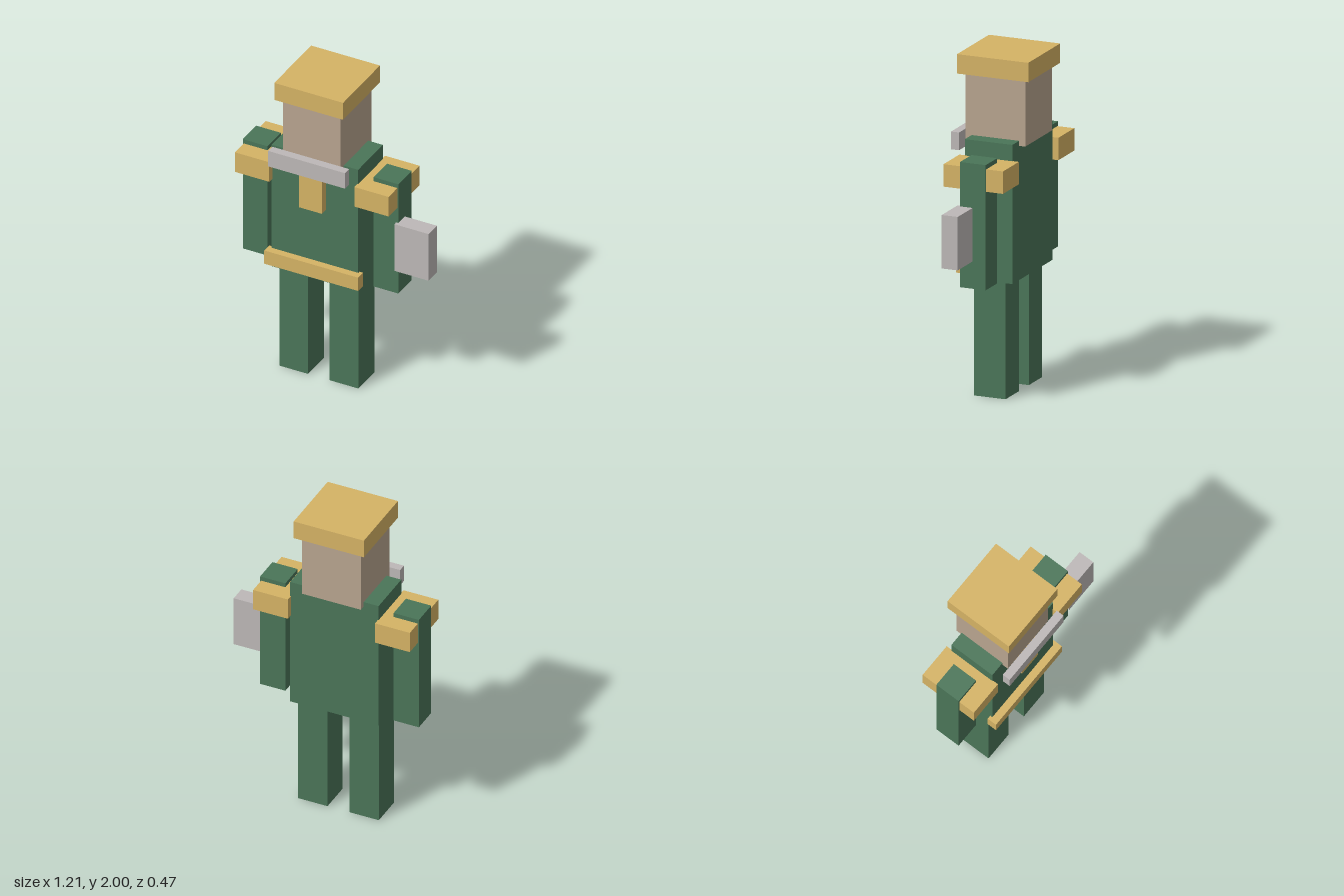
import * as THREE from 'three';

const paint = (color) => new THREE.MeshStandardMaterial({ color });

export function createModel() {
  const model = new THREE.Group();
  model.name = 'blockFigure';

  const green = paint(0x4a7558);
  const gold = paint(0xd5b365);
  const skin = paint(0xb8a48f);
  const silver = paint(0xbdb8b7);

  // The body's middle lies left of the origin because of the held item
  const body = new THREE.Group();
  body.name = 'body';
  body.position.x = -0.105;
  model.add(body);

  // Box from its centre x, width, and its y and z ranges
  function box(name, material, x, width, [y0, y1], [z0, z1]) {
    const mesh = new THREE.Mesh(new THREE.BoxGeometry(width, y1 - y0, z1 - z0), material);
    mesh.name = name;
    mesh.position.set(x, (y0 + y1) / 2, (z0 + z1) / 2);
    body.add(mesh);
  }

  // Torso and head
  box('torso', green, 0, 0.56, [0.695, 1.52], [-0.162, 0.135]);
  box('head', skin, 0, 0.372, [1.49, 1.89], [-0.2, 0.173]);
  box('hat', gold, 0, 0.445, [1.885, 2], [-0.235, 0.21]);

  // Clothing details on the chest
  box('collar', silver, 0, 0.496, [1.44, 1.545], [0.186, 0.236]);
  box('chestStrip', gold, 0, 0.146, [1.188, 1.45], [0.135, 0.188]);
  box('belt', gold, 0, 0.607, [0.73, 0.82], [0.12, 0.18]);

  // Mirrored limbs
  for (const [side, s] of [['left', 1], ['right', -1]]) {
    box(side + 'Leg', green, s * 0.1625, 0.186, [0, 0.697], [-0.108, 0.088]);
    box(side + 'Arm', green, s * 0.423, 0.16, [0.708, 1.45], [-0.095, 0.066]);
    box(side + 'ShoulderPad', gold, s * 0.386, 0.221, [1.29, 1.423], [-0.2, 0.172]);
  }

  // Item held at the left hand
  box('heldBlock', silver, 0.599, 0.222, [0.87, 1.187], [-0.013, 0.087]);

  return model;
}
